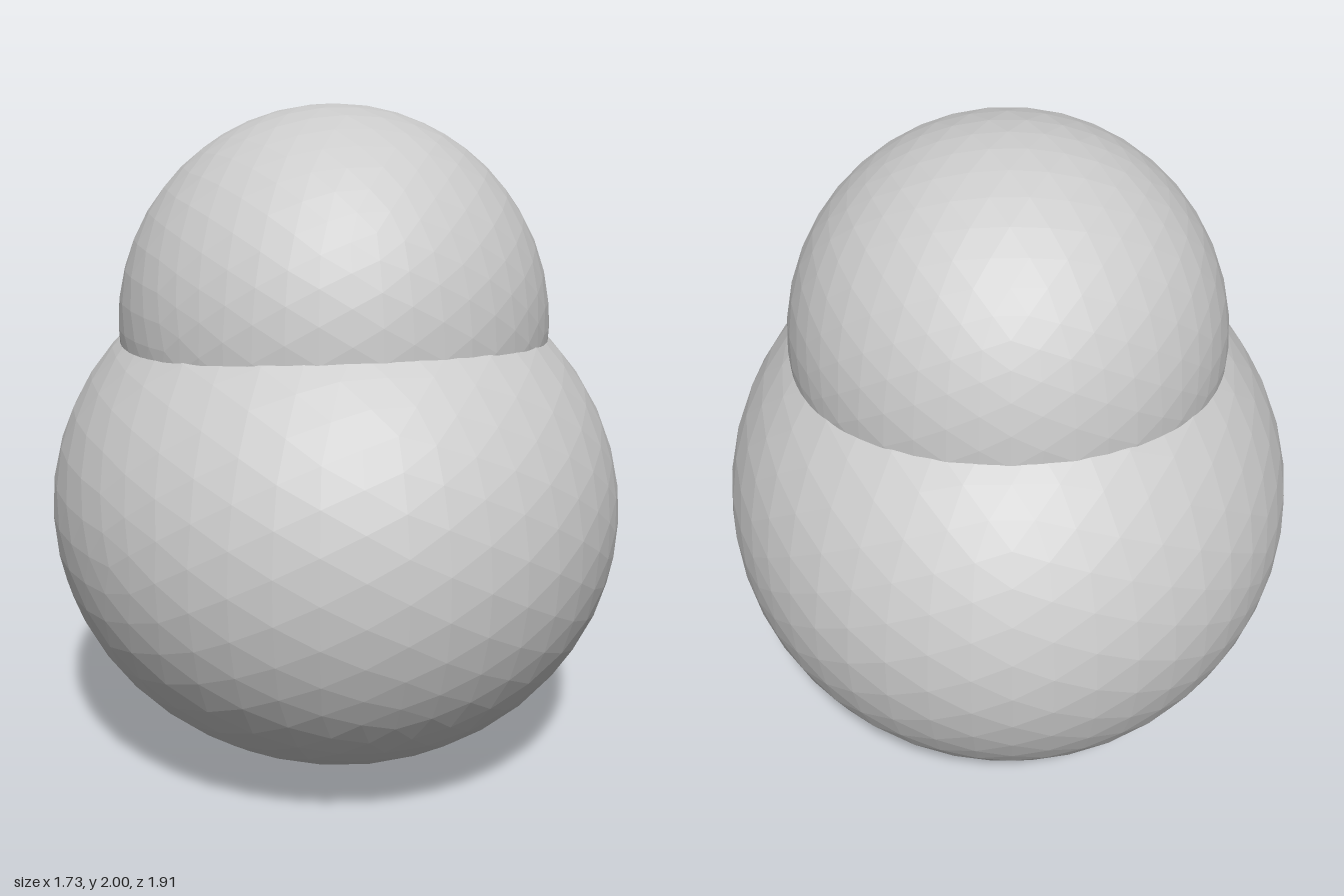
import * as THREE from 'three';

export function createModel() {
  const group = new THREE.Group();
  const material = new THREE.MeshStandardMaterial({ color: 0xcccccc, flatShading: true });

  // Faceted ellipsoid with the given radii, centred at height y
  function addBall(name, rx, ry, rz, y) {
    const geometry = new THREE.IcosahedronGeometry(1, 7);
    geometry.scale(rx, ry, rz);
    geometry.computeVertexNormals();
    const mesh = new THREE.Mesh(geometry, material);
    mesh.name = name;
    mesh.position.y = y;
    group.add(mesh);
  }

  // Wide body, slightly deeper than broad
  addBall('body', 0.866, 0.784, 0.953, 0.787);
  // Round head sunk into the body
  addBall('head', 0.65, 0.65, 0.65, 1.35);

  return group;
}
